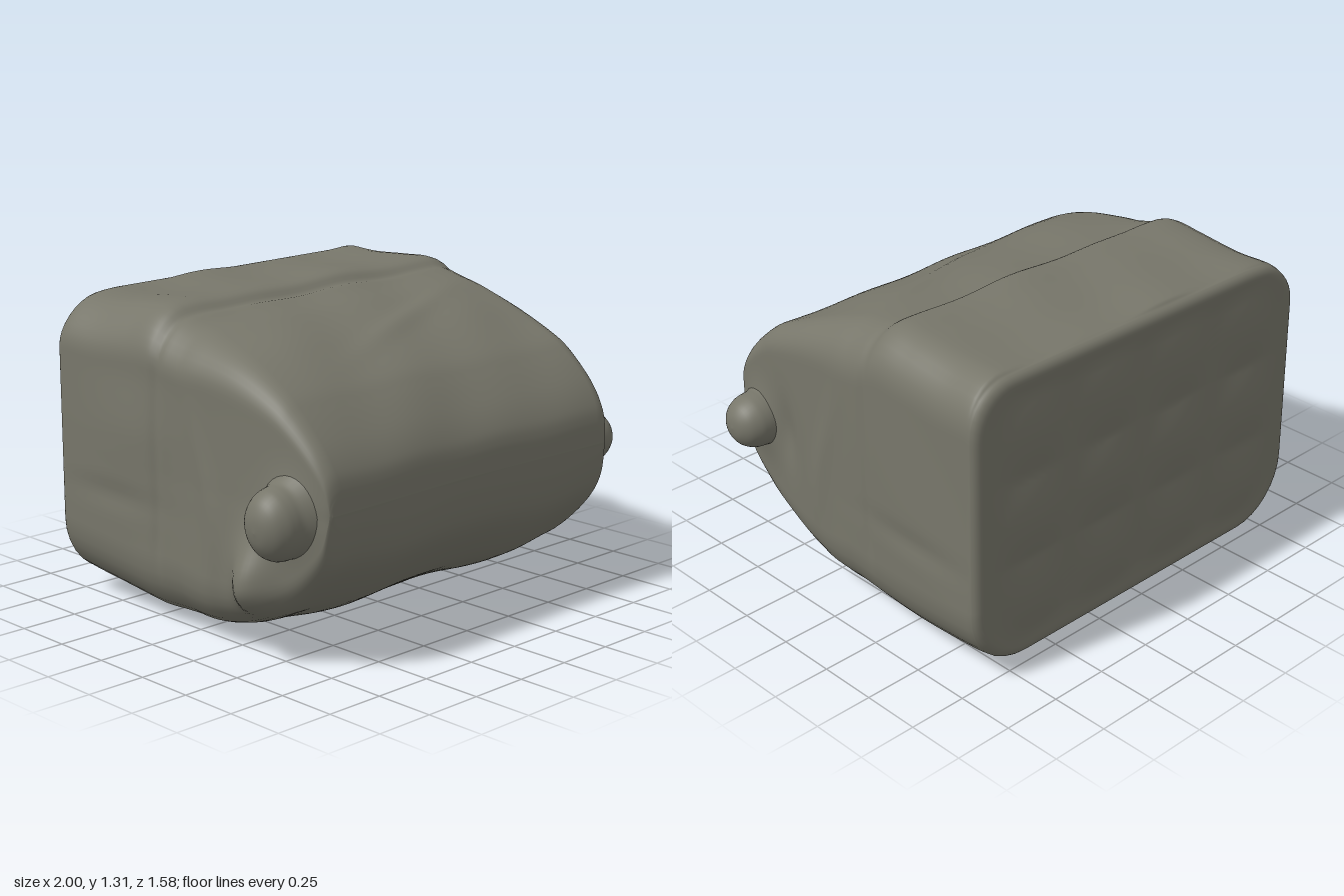
import * as THREE from 'three';

const material = new THREE.MeshStandardMaterial({ color: 0x77766a });
const bump = (v, centre, width) => Math.exp(-(((v - centre) / width) ** 2));
const { smoothstep, clamp, degToRad } = THREE.MathUtils;

// Side profile from nose to back: [z, top, bottom]
const profile = [
  [0.793, 0.645, 0.645], [0.785, 0.74, 0.54], [0.76, 0.81, 0.43], [0.70, 0.893, 0.335], [0.60, 0.99, 0.232],
  [0.50, 1.062, 0.17], [0.30, 1.158, 0.078], [0.10, 1.222, 0.028], [-0.08, 1.26, 0.02],
  [-0.20, 1.302, 0.018], [-0.35, 1.296, 0.024], [-0.55, 1.28, 0.04], [-0.70, 1.284, 0.052],
  [-0.74, 1.278, 0.06],
];
// Matching plan outline: [z, right edge, left edge]
const plan = [
  [0.793, -0.78, 0.79], [0.785, -0.79, 0.80], [0.76, -0.80, 0.815], [0.70, -0.815, 0.83], [0.60, -0.83, 0.84],
  [0.50, -0.84, 0.855], [0.30, -0.85, 0.88], [0.10, -0.855, 0.90], [-0.08, -0.86, 0.915],
  [-0.20, -0.87, 0.922], [-0.35, -0.865, 0.93], [-0.55, -0.86, 0.935], [-0.70, -0.855, 0.94],
  [-0.74, -0.85, 0.94],
];
const spline = (rows) =>
  new THREE.CatmullRomCurve3(rows.map((p) => new THREE.Vector3(...p)), false, 'catmullrom', 0.5);

// Rounded rectangle with larger lower corners, same point count for any size
function roundedRing(x0, x1, y0, y1, radius) {
  const r = Math.min(radius, (y1 - y0) * 0.4), q = r * 1.4;
  const corners = [
    [x1 - q, y0 + q, -90, q], [x1 - r, y1 - r, 0, r],
    [x0 + r, y1 - r, 90, r], [x0 + q, y0 + q, 180, q],
  ];
  const at = ([cx, cy, start, size], t) => {
    const a = degToRad(start + 90 * t);
    return [cx + size * Math.cos(a), cy + size * Math.sin(a)];
  };
  const ring = [];
  corners.forEach((corner, k) => {
    for (let i = 0; i < 9; i++) ring.push(at(corner, i / 8));
    const a = at(corner, 1), b = at(corners[(k + 1) % 4], 0);
    for (let i = 1; i < 28; i++) {
      const t = i / 28;
      ring.push([a[0] + (b[0] - a[0]) * t, a[1] + (b[1] - a[1]) * t]);
    }
  });
  return ring;
}

// Cloth folds: outward offset of the skin
function folds(x, y, z) {
  let d = 0.005 * Math.sin(7 * x + 3 * z + 1) * Math.cos(6 * z - 4 * y);
  d += 0.004 * Math.sin(13 * x - 5 * y + 4 * z);
  // Seam over the top and down the sides
  const seam = smoothstep(y, 0.15, 0.4) * (0.35 + 0.65 * bump(x, -0.05, 0.7));
  d -= 0.016 * bump(z, -0.13, 0.025) * seam;
  // Side pleats
  d += 0.012 * bump(z, 0.12 + 0.08 * Math.sin(4 * y), 0.05) * bump(y, 0.55, 0.35);
  d -= 0.01 * bump(y, 0.5, 0.05) * bump(z, -0.4, 0.25);
  // Diagonal and level creases on the front
  d += 0.012 * bump(z - 0.3 + 0.35 * x, 0, 0.05) * bump(x, 0.15, 0.35);
  d -= 0.008 * bump(y, 0.63, 0.03) * bump(x, -0.4, 0.3);
  return d;
}

// Uneven top: it drops at the right corner and rises a little to the left
const lean = (x, y, z) => smoothstep(y, 0.9, 1.25) * smoothstep(-z, -0.5, 0.1)
  * (0.015 * x - 0.035 * smoothstep(-x, 0.55, 0.88));

function buildBody() {
  const side = spline(profile), top = spline(plan);
  const rings = [];
  let last;
  // Skin from the nose to the back edge
  const steps = 140;
  for (let i = 0; i <= steps; i++) {
    const t = (i / steps) ** 1.3;
    const s = side.getPoint(t), p = top.getPoint(t), z = s.x;
    const r = clamp(0.19 - 0.17 * z, 0.06, 0.19);
    last = [p.y, p.z, s.z, s.y, r];
    const cx = (p.y + p.z) / 2, hw = (p.z - p.y) / 2;
    const cy = (s.y + s.z) / 2, hh = Math.max(0.001, (s.y - s.z) / 2);
    const fade = Math.min(1, i / 16) * Math.min(1, (steps - i) / 6);
    rings.push(roundedRing(...last).map(([x, y]) => {
      const u = (x - cx) / hw, nx = u ** 5, ny = ((y - cy) / hh) ** 5;
      const d = folds(x, y, z) * fade;
      let px = x + nx * d;
      if (x < 0) {
        // Loose fold low behind the right knob, and a narrower upper side
        px -= 0.11 * bump(y, 0.33, 0.17) * bump(z, 0.46, 0.105) * u ** 4;
        px += 0.02 * smoothstep(y, 0.75, 1.05) * bump(z, -0.25, 0.3) * u ** 4;
      } else {
        // Hollow behind the left knob
        px -= 0.02 * bump(y, 0.62, 0.13) * bump(z, 0.42, 0.06) * nx;
      }
      // Swelling at the foot of both knobs
      px += 0.035 * bump(y, 0.61, 0.14) * bump(z, 0.61, 0.11) * nx;
      // Sagging underside and slightly dished nose
      const sag = ny < 0 ? ny * 0.012 * Math.cos(8.5 * x + 2.6) * fade : 0;
      const dish = 0.022 * bump(x, 0, 0.45) * smoothstep(z, 0.4, 0.79);
      return [px, Math.max(0, y + ny * d + sag + lean(x, y, z)), z - dish];
    }));
  }
  // Rounded back edge
  const [x0, x1, y0, y1, r] = last;
  const inset = (e) => roundedRing(x0 + e, x1 - e, y0 + e, y1 - e, r - e * 0.5)
    .map(([x, y]) => [x, y + lean(x, y, -0.74)]);
  for (let i = 1; i <= 6; i++) {
    const a = (i / 6) * Math.PI / 2;
    rings.push(inset(0.04 * (1 - Math.cos(a))).map(([x, y]) => [x, y, -0.735 - 0.033 * Math.sin(a)]));
  }
  // Quilted back panel
  const edge = inset(0.04), cx = (x0 + x1) / 2, cy = (y0 + y1) / 2;
  for (let i = 1; i <= 36; i++) {
    const s = 1 - i / 36, depth = Math.min(1, i / 5);
    rings.push(edge.map(([ex, ey]) => {
      const x = cx + (ex - cx) * s, y = cy + (ey - cy) * s;
      const pad = Math.abs(Math.sin((x - cx + 0.8) * Math.PI / 0.4) * Math.sin((y - cy + 0.54) * Math.PI / 0.36));
      return [x, y, -0.768 + depth * (0.012 - 0.02 * pad - 0.01 * bump(y, 0.62, 0.35))];
    }));
  }

  const n = rings[0].length, index = [];
  for (let i = 0; i < rings.length - 1; i++) {
    for (let j = 0; j < n; j++) {
      const a = i * n + j, b = i * n + (j + 1) % n;
      index.push(a, a + n, b, b, a + n, b + n);
    }
  }
  const geometry = new THREE.BufferGeometry();
  geometry.setAttribute('position', new THREE.Float32BufferAttribute(rings.flat(2), 3));
  geometry.setIndex(index);
  geometry.computeVertexNormals();
  return geometry;
}

// Rounded knob with a softly flared foot, pointing along +y before it is turned
function knobGeometry() {
  const outline = [
    [0.15, -0.01], [0.13, 0.03], [0.118, 0.06], [0.115, 0.09],
    [0.108, 0.125], [0.085, 0.165], [0.045, 0.192], [0, 0.2],
  ];
  const curve = new THREE.SplineCurve(outline.map((p) => new THREE.Vector2(...p)));
  return new THREE.LatheGeometry(curve.getPoints(28).map((p) => p.set(Math.max(0, p.x), p.y)), 40);
}

export function createModel() {
  const group = new THREE.Group();
  const add = (geometry, name) => {
    const mesh = new THREE.Mesh(geometry, material);
    mesh.name = name;
    group.add(mesh);
    return mesh;
  };
  add(buildBody(), 'body');

  const leftKnob = add(knobGeometry(), 'leftKnob');
  leftKnob.rotation.z = -Math.PI / 2;
  leftKnob.position.set(0.8, 0.62, 0.61);

  const rightKnob = add(knobGeometry(), 'rightKnob');
  rightKnob.rotation.z = Math.PI / 2 + 0.12;
  rightKnob.position.set(-0.8, 0.61, 0.6);
  rightKnob.scale.set(1.25, 1, 1.05);
  return group;
}
